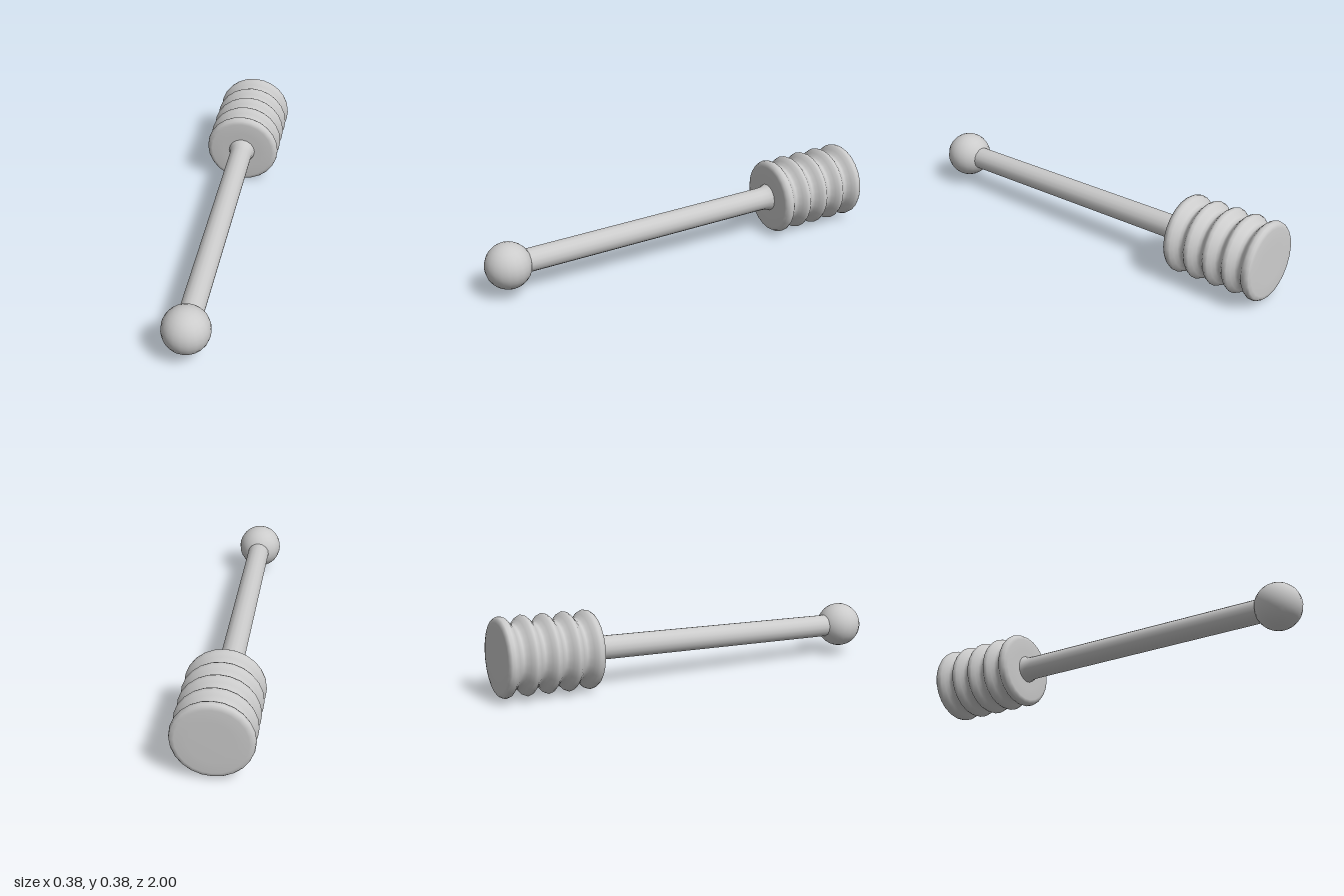
import * as THREE from 'three';

const material = new THREE.MeshStandardMaterial({ color: 0xcccccc });

// Turned part: [radius, z] profile points listed from back to front
function turned(name, profile, segments) {
  const points = profile.map(([r, z]) => new THREE.Vector2(r, z));
  const geometry = new THREE.LatheGeometry(points, segments);
  geometry.rotateX(Math.PI / 2);
  const mesh = new THREE.Mesh(geometry, material);
  mesh.name = name;
  return mesh;
}

export function createModel() {
  const model = new THREE.Group();
  model.name = 'honeyDipper';

  // Grooved head: flat ends with rounded rims and five evenly spaced ridges
  const back = -0.997, front = -0.53, first = -0.968, pitch = 0.1015;
  const ridge = 0.187, groove = 0.147;
  const head = [[0, back], [0.1, back], [0.16, back + 0.001], [0.177, back + 0.005], [0.184, back + 0.014]];
  for (let i = 0; i < 5; i++) {
    const z = first + i * pitch;
    head.push([ridge, z]);
    if (i === 4) break;
    for (let k = 1; k < 8; k++) {
      const wave = (1 + Math.cos((k / 8) * Math.PI * 2)) / 2;
      head.push([groove + (ridge - groove) * wave, z + (k / 8) * pitch]);
    }
  }
  head.push([0.185, front - 0.02], [0.177, front - 0.007], [0.16, front - 0.001], [0.1, front], [0, front]);
  model.add(turned('groovedHead', head, 24));

  // Handle with a small flare where it meets the head
  model.add(turned('handle', [[0.072, -0.54], [0.066, -0.525], [0.059, -0.505], [0.057, -0.47], [0.056, 0.82]], 16));

  // Ball at the end of the handle
  const ball = new THREE.Mesh(new THREE.SphereGeometry(0.111, 20, 14), material);
  ball.name = 'endBall';
  ball.position.z = 0.889;
  model.add(ball);

  // Resting pose: the ball end dips slightly and turns to one side
  model.rotation.set(0.024, -0.011, 0);
  model.position.set(-0.008, 0.171, 0);

  const root = new THREE.Group();
  root.name = 'model';
  root.add(model);
  return root;
}
